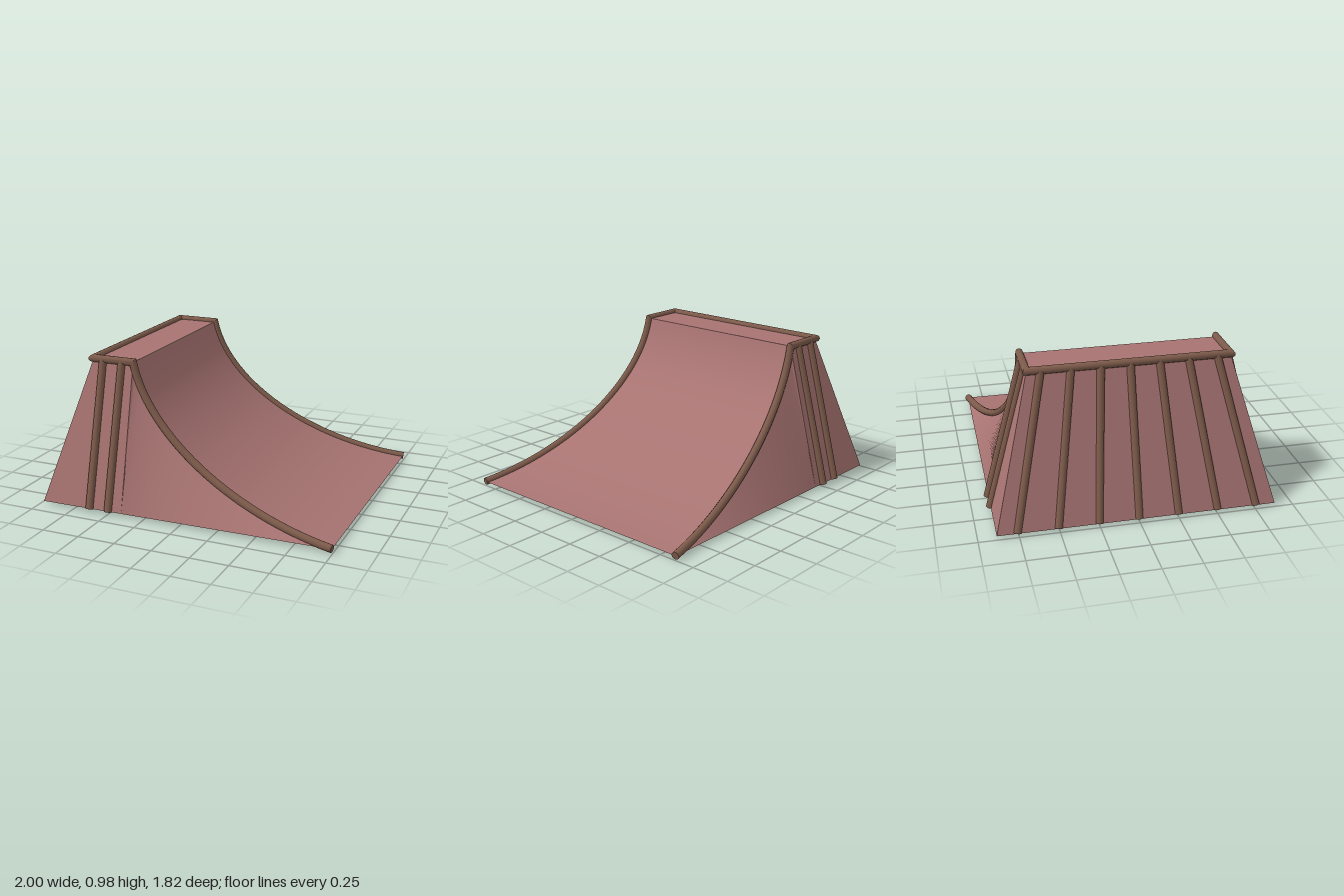
import * as THREE from 'three';
import { toCreasedNormals } from 'three/addons/utils/BufferGeometryUtils.js';

const V = (x, y, z) => new THREE.Vector3(x, y, z);
const mirrorZ = p => V(p.x, p.y, -p.z);

function buildGeometry(points, index) {
  const g = new THREE.BufferGeometry().setFromPoints(points);
  g.setIndex(index);
  return toCreasedNormals(g, 0.7);
}

// Ruled surface between two edges with matching point counts
function sheet(a, b) {
  const n = a.length, index = [];
  for (let i = 0; i < n - 1; i++) {
    index.push(i, i + 1, n + i, n + i, i + 1, n + i + 1);
  }
  return buildGeometry([...a, ...b], index);
}

// Round bar swept along a polyline, mitred at every corner and capped
function bar(path, radius, sides = 12) {
  const dirs = path.slice(1).map((p, i) => p.clone().sub(path[i]).normalize());
  const ref = Math.abs(dirs[0].y) > 0.9 ? V(1, 0, 0) : V(0, 1, 0);
  const u = ref.clone().cross(dirs[0]).normalize();
  const v = dirs[0].clone().cross(u);
  let ring = [];
  for (let s = 0; s < sides; s++) {
    const t = s / sides * Math.PI * 2;
    ring.push(path[0].clone().addScaledVector(u, Math.cos(t) * radius).addScaledVector(v, Math.sin(t) * radius));
  }
  const points = [...ring], index = [];
  dirs.forEach((d, i) => {
    const normal = d.clone().add(dirs[i + 1] || d).normalize();
    ring = ring.map(p => {
      const slide = path[i + 1].clone().sub(p).dot(normal) / d.dot(normal);
      return p.clone().addScaledVector(d, slide);
    });
    points.push(...ring);
    for (let s = 0; s < sides; s++) {
      const a = i * sides + s, b = i * sides + (s + 1) % sides;
      index.push(a, b, a + sides, a + sides, b, b + sides);
    }
  });
  const last = dirs.length * sides;
  for (let s = 1; s < sides - 1; s++) {
    index.push(0, s + 1, s, last, last + s, last + s + 1);
  }
  return buildGeometry(points, index);
}

export function createModel() {
  const model = new THREE.Group();
  const panelMat = new THREE.MeshStandardMaterial({ color: 0xa87472, side: THREE.DoubleSide });
  const woodMat = new THREE.MeshStandardMaterial({ color: 0x7c5a4a });
  const add = (name, geometry, material) => {
    const mesh = new THREE.Mesh(geometry, material);
    mesh.name = name;
    model.add(mesh);
  };

  // Upper edge of the left side: platform, then the flaring ramp curve
  const curve = new THREE.CubicBezierCurve3(
    V(-0.42, 0.96, 0.635), V(-0.32, 0.5, 0.64), V(0.3, 0.1, 0.745), V(0.993, 0.03, 0.86));
  const topLeft = [V(-0.705, 0.96, 0.635), ...curve.getPoints(28)];
  const topRight = topLeft.map(mirrorZ);

  // Lower edge of the left side
  const baseLeft = topLeft.map((p, i) => {
    const x = i === 0 ? -0.98 : p.x;
    const t = (x + 0.98) / 1.973;
    return V(x, 0.02 + 0.008 * t, 0.885 - 0.022 * t);
  });
  const baseRight = baseLeft.map(mirrorZ);

  // Panels, open underneath
  add('deck', sheet(topLeft, topRight), panelMat);
  add('leftSidePanel', sheet(baseLeft, topLeft), panelMat);
  add('rightSidePanel', sheet(topRight, baseRight), panelMat);
  add('backPanel', sheet([baseRight[0], baseLeft[0]], [topRight[0], topLeft[0]]), panelMat);

  // One continuous rail around the platform and down both ramp edges
  add('edgeRail', bar([...topLeft].reverse().concat(topRight), 0.025), woodMat);

  // Paired posts leaning on each side
  for (const side of [1, -1]) {
    for (const x of [-0.635, -0.5]) {
      add('sidePost', bar([V(x, 0.022, 0.885 * side), V(x, 0.96, 0.635 * side)], 0.026), woodMat);
    }
  }

  // Fanned ribs on the back
  for (let i = -3; i <= 3; i++) {
    add('backRib', bar([V(-0.975, 0.022, i * 0.253), V(-0.705, 0.96, i * 0.183)], 0.025), woodMat);
  }
  return model;
}
